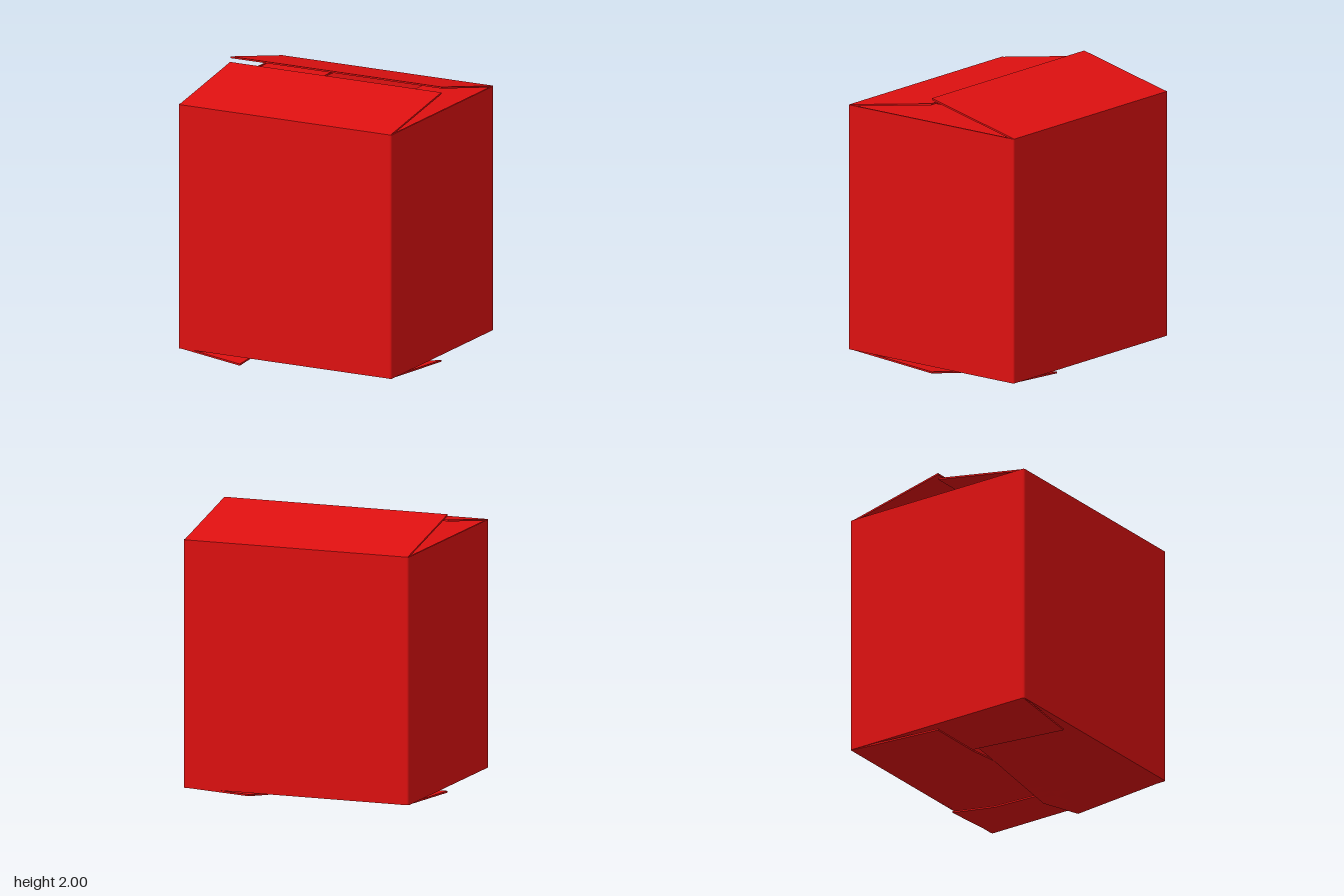
import * as THREE from 'three';

const W = 0.82, D = 0.72, Y0 = 0.13, Y1 = 1.835, T = 0.012;

// Outline of the carton with small rounded corners
function roundedRect(path, w, d, r) {
  path.moveTo(-w + r, -d);
  path.lineTo(w - r, -d);
  path.quadraticCurveTo(w, -d, w, -d + r);
  path.lineTo(w, d - r);
  path.quadraticCurveTo(w, d, w - r, d);
  path.lineTo(-w + r, d);
  path.quadraticCurveTo(-w, d, -w, d - r);
  path.lineTo(-w, -d + r);
  path.quadraticCurveTo(-w, -d, -w + r, -d);
  return path;
}

// Piecewise linear lookup in [position, height] pairs
function lookup(pairs, x) {
  for (let i = 1; i < pairs.length; i++) {
    const [a, ya] = pairs[i - 1], [b, yb] = pairs[i];
    if (x <= b || i === pairs.length - 1) {
      return THREE.MathUtils.lerp(ya, yb, THREE.MathUtils.clamp((x - a) / (b - a), 0, 1));
    }
  }
  return pairs[0][1];
}

export function createModel() {
  const group = new THREE.Group();
  const material = new THREE.MeshStandardMaterial({ color: 0xdd1010, flatShading: true });

  const add = (name, geometry, turn = 0) => {
    const mesh = new THREE.Mesh(geometry, material);
    mesh.name = name;
    mesh.rotation.y = turn;
    group.add(mesh);
  };

  // Four walls as one open tube
  const outline = roundedRect(new THREE.Shape(), W, D, 0.015);
  outline.holes.push(roundedRect(new THREE.Path(), W - T, D - T, 0.01));
  const walls = new THREE.ExtrudeGeometry(outline, { depth: Y1 - Y0, bevelEnabled: false, curveSegments: 3 });
  walls.rotateX(-Math.PI / 2);
  walls.translate(0, Y0, 0);
  add('walls', walls);

  // A flap is hinged at z = depth and reaches inward; its free edge follows the height pairs
  function flap(name, halfWidth, depth, length, hingeY, freeEdge, turn) {
    const geometry = new THREE.BoxGeometry(2 * halfWidth, T, 1, 24, 1, 6);
    const p = geometry.attributes.position;
    for (let i = 0; i < p.count; i++) {
      const x = p.getX(i), t = 0.5 - p.getZ(i);
      const y = THREE.MathUtils.lerp(hingeY, lookup(freeEdge, x), t);
      p.setXYZ(i, x, y + p.getY(i), depth - t * length);
    }
    geometry.computeVertexNormals();
    add(name, geometry, turn);
  }

  const level = (y) => [[-1, y], [1, y]];
  const Q = Math.PI / 2, w = W - 0.008, d = D - 0.008;
  const top = Y1 - T / 2, bottom = Y0 + T / 2;

  // Top flaps: two long ones left ajar over two short ones
  flap('topFrontFlap', w, D - 0.003, D - 0.007, top, level(1.955), 0);
  flap('topBackFlap', w, D - 0.003, D - 0.003, top, level(1.993), 2 * Q);
  flap('topRightFlap', d, W - 0.005, 0.465, top - 0.005, level(1.805), Q);
  flap('topLeftFlap', d, W - 0.005, 0.465, top - 0.005, level(1.805), -Q);

  // Bottom flaps: each bent, overlapping one neighbour and tucked under the other
  flap('bottomFrontFlap', w, D - 0.003, D - 0.003, bottom,
    [[-0.82, 0.2], [-0.2, 0.115], [0.41, 0.009], [0.82, 0.086]], 0);
  flap('bottomBackFlap', w, D - 0.003, D - 0.003, bottom,
    [[-0.82, 0.24], [-0.2, 0.145], [0.13, 0.112], [0.41, 0.09], [0.82, 0.092]], 2 * Q);
  flap('bottomRightFlap', d, W - 0.005, 0.465, bottom,
    [[-0.72, 0.17], [0, 0.044], [0.36, 0.056], [0.72, 0.112]], Q);
  flap('bottomLeftFlap', d, W - 0.005, 0.465, bottom,
    [[-0.72, 0.17], [0, 0.13], [0.48, 0.092], [0.72, 0.073]], -Q);

  return group;
}
